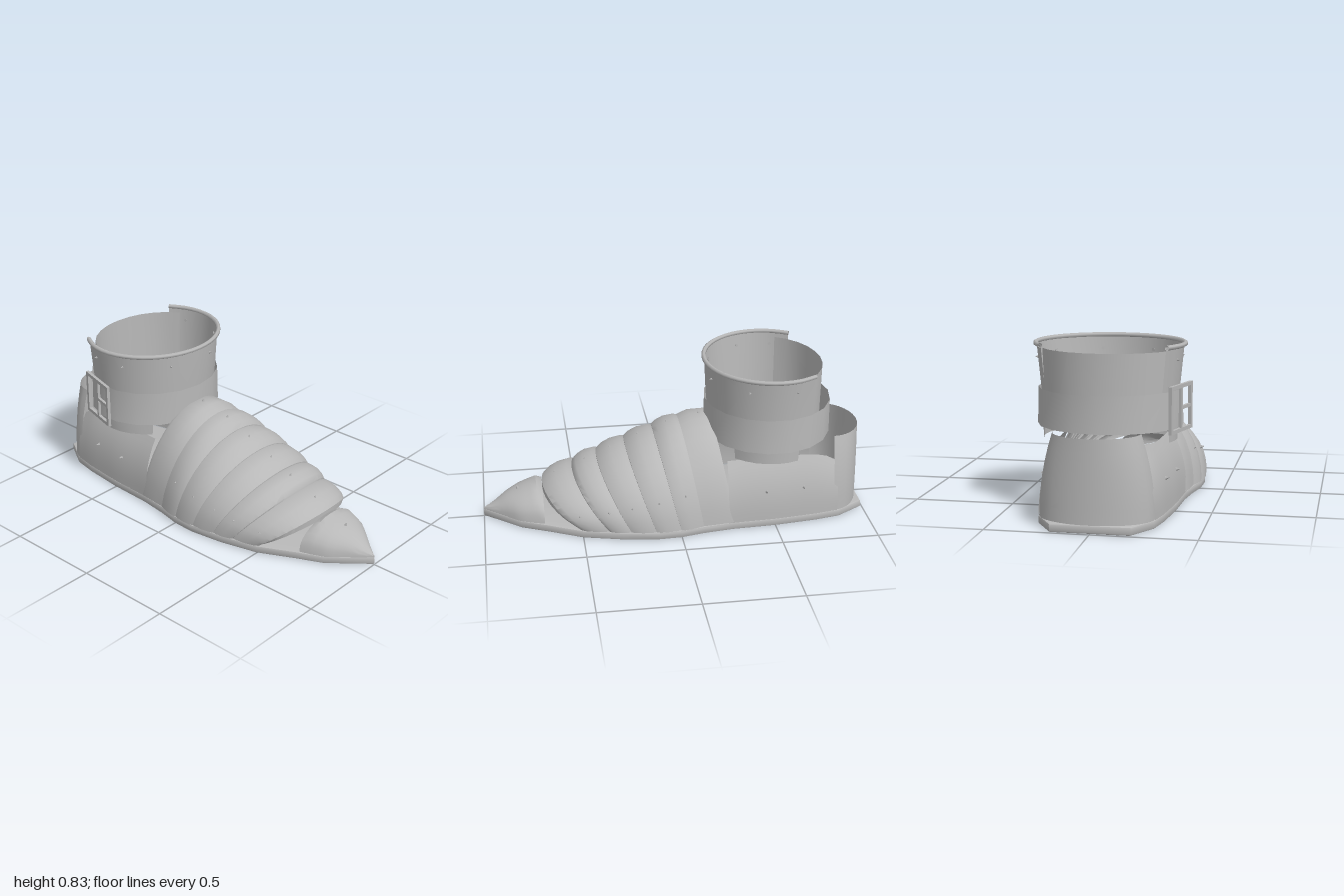
import * as THREE from 'three';
import { toCreasedNormals } from 'three/addons/utils/BufferGeometryUtils.js';

const steel = new THREE.MeshStandardMaterial({ color: 0xb8b8b8, side: THREE.DoubleSide });
steel.name = 'steel';

// Half outline of the sole, [x, z] from toe to heel
const OUTLINE = [[0, 1], [0.16, 0.81], [0.22, 0.68], [0.31, 0.5], [0.36, 0.3], [0.385, 0.12], [0.38, 0],
  [0.355, -0.12], [0.335, -0.27], [0.325, -0.5], [0.3, -0.72], [0.275, -0.85], [0.19, -0.99]];

// Linear lookup in a table of [value, key] pairs with falling keys
function lookup(table, key) {
  for (let i = 1; i < table.length; i++) {
    const [v0, k0] = table[i - 1], [v1, k1] = table[i];
    if (key >= k1) return v0 + (v1 - v0) * Math.min(1, Math.max(0, (k0 - key) / (k0 - k1)));
  }
  return table[table.length - 1][0];
}
const halfWidth = (z) => lookup(OUTLINE, z);

// Surface from a rule fn(u, v) -> [x, y, z]
function sheet(nu, nv, fn) {
  const pos = [], idx = [];
  for (let j = 0; j <= nv; j++) for (let i = 0; i <= nu; i++) pos.push(...fn(i / nu, j / nv, j));
  for (let j = 0; j < nv; j++) for (let i = 0; i < nu; i++) {
    const a = j * (nu + 1) + i, b = a + 1, c = a + nu + 1, d = c + 1;
    idx.push(a, b, d, a, d, c);
  }
  const geo = new THREE.BufferGeometry();
  geo.setAttribute('position', new THREE.Float32BufferAttribute(pos, 3));
  geo.setIndex(idx);
  return toCreasedNormals(geo, 0.75);
}

function add(parent, name, geo) {
  const mesh = new THREE.Mesh(geo, steel);
  mesh.name = name;
  parent.add(mesh);
  return mesh;
}

// Small pointed stud facing outwards
function stud(parent, p, dir) {
  const m = add(parent, 'stud', new THREE.ConeGeometry(0.01, 0.022, 4));
  m.position.set(...p);
  m.quaternion.setFromUnitVectors(new THREE.Vector3(0, 1, 0), new THREE.Vector3(...dir).normalize());
}

// Elliptical wall around the ankle; angles in degrees from the front, rows are [y, rx, rz]
const CZ = -0.5;
const onRing = (deg, rx, rz, y) => {
  const a = THREE.MathUtils.degToRad(deg);
  return [rx * Math.sin(a), y, CZ + rz * Math.cos(a)];
};
function ringWall(a0, a1, n, rows) {
  return sheet(n, rows.length - 1, (u, v, j) => onRing(a0 + (a1 - a0) * u, rows[j][1], rows[j][2], rows[j][0]));
}

// Arched point over the foot: lower ends lie further back than the crown
const BASE = 0.045;
const crown = (z) => (z > -0.08 ? 0.18 + (0.69 - z) * 0.43 : 0.512);
const lean = (z) => 0.08 + 0.1 * Math.min(1, Math.max(0, z / 0.65));
function arch(z, t, off) {
  const a = Math.PI * t, s = Math.sin(a), back = z - lean(z);
  return [-(halfWidth(back) + off * 0.4) * Math.cos(a), BASE + (crown(z) + off - BASE) * s, z - lean(z) * (1 - s)];
}

export function createModel() {
  const model = new THREE.Group();
  model.name = 'armouredShoe';

  // Sole
  const shape = new THREE.Shape();
  OUTLINE.forEach(([x, z], i) => (i ? shape.lineTo(x, -z) : shape.moveTo(x, -z)));
  [...OUTLINE].reverse().forEach(([x, z]) => x && shape.lineTo(-x, -z));
  const soleGeo = new THREE.ExtrudeGeometry(shape, {
    depth: 0.024, bevelThickness: 0.008, bevelSize: 0.008, bevelOffset: -0.008, bevelSegments: 2 });
  soleGeo.rotateX(-Math.PI / 2).translate(0, 0.008, 0);
  add(model, 'sole', toCreasedNormals(soleGeo, 0.6));

  // Toe cap
  const TOE_H = [[0.05, 1], [0.075, 0.95], [0.125, 0.88], [0.16, 0.8], [0.183, 0.72], [0.165, 0.69]];
  const TOE_W = [[0, 1], [0.075, 0.91], [0.155, 0.82], [0.185, 0.75], [0.205, 0.69]];
  add(model, 'toeCap', sheet(14, 10, (u, v) => {
    const z = 1 - 0.31 * v, a = Math.PI * u;
    return [-lookup(TOE_W, z) * Math.cos(a), 0.04 + (lookup(TOE_H, z) - 0.04) * Math.sin(a) ** 0.85, z];
  }));
  stud(model, [0, 0.16, 0.82], [0, 1, 0.4]);

  // Overlapping foot plates, each with a lip turned under at its front
  const PROFILE = [[0, -0.03], [0, 0.004], [0.12, 0.018], [0.35, 0.024], [0.65, 0.012], [1, -0.03]];
  const plates = [[0.69, 0.49], [0.53, 0.36], [0.4, 0.2], [0.25, 0.05], [0.1, -0.08]];
  plates.forEach(([z0, z1]) => {
    add(model, 'footPlate', sheet(18, PROFILE.length - 1, (u, v, j) =>
      arch(z0 + (z1 - z0) * PROFILE[j][0], u, PROFILE[j][1])));
    const zs = z0 - 0.07;
    for (const t of [0.13, 0.5, 0.87]) {
      stud(model, arch(zs, t, 0.026), [-Math.cos(Math.PI * t), Math.sin(Math.PI * t), 0.25]);
    }
  });

  // Instep plate
  const INSTEP = [[-0.03, -0.03], [-0.03, 0], [-0.09, 0.008], [-0.18, 0.013], [-0.2, 0]];
  add(model, 'instepPlate', sheet(18, INSTEP.length - 1, (u, v, j) => arch(INSTEP[j][0], u, INSTEP[j][1])));
  stud(model, [0, 0.53, -0.14], [0, 1, 0.3]);

  // Side panels of the rear foot
  for (const side of [1, -1]) {
    add(model, 'sidePanel', sheet(10, 8, (u, v) => {
      const z = -0.25 - 0.59 * u;
      const top = 0.36 - 0.06 * u ** 8;
      return [side * halfWidth(z) * (1 - 0.24 * v ** 2.5), 0.04 + (top - 0.04) * v, z];
    }));
    stud(model, [side * 0.326, 0.2, -0.45], [side, 0.2, 0]);
    stud(model, [side * 0.305, 0.2, -0.65], [side, 0.2, 0]);
  }

  // Heel cup
  add(model, 'heelCup', sheet(16, 6, (u, v) => {
    const a = Math.PI * u;
    return [0.275 * (1 - 0.24 * v * v) * Math.cos(a), 0.04 + 0.4 * v, -0.82 - 0.17 * Math.sin(a)];
  }));

  // Ankle cuff, open at the back, with a rolled rim
  add(model, 'ankleCuff', ringWall(-123, 123, 20, [[0.43, 0.325, 0.3], [0.62, 0.338, 0.318], [0.82, 0.358, 0.328]]));
  const rimPoints = [];
  for (let i = 0; i <= 16; i++) rimPoints.push(new THREE.Vector3(...onRing(-123 + 246 * i / 16, 0.362, 0.33, 0.821)));
  add(model, 'cuffRim', new THREE.TubeGeometry(new THREE.CatmullRomCurve3(rimPoints), 32, 0.012, 6));
  for (const a of [-105, -72, -28, 17, 62, 105]) {
    const p = onRing(a, 0.354, 0.328, 0.755);
    stud(model, p, [p[0], 0, p[2] - CZ]);
  }

  // Back plate of the ankle
  add(model, 'backPlate', ringWall(112, 248, 10, [[0.43, 0.32, 0.275], [0.8, 0.335, 0.28]]));

  // Lower tabs beside the ankle
  for (const side of [1, -1]) {
    add(model, 'ankleTab', ringWall(side * 45, side * 112, 6, [[0.36, 0.327, 0.29], [0.45, 0.328, 0.3]]));
  }

  // Strap around the cuff
  add(model, 'strap', ringWall(0, 360, 18, [[0.43, 0.354, 0.332], [0.61, 0.349, 0.33]]));

  // Buckle on the right of the strap
  const buckle = new THREE.Group();
  buckle.name = 'buckle';
  buckle.position.set(-0.354, 0.525, -0.57);
  buckle.rotation.y = -0.28;
  for (const s of [1, -1]) {
    add(buckle, 'buckleRail', new THREE.BoxGeometry(0.016, 0.018, 0.24)).position.y = s * 0.105;
    add(buckle, 'buckleBar', new THREE.BoxGeometry(0.016, 0.21, 0.02)).position.z = s * 0.11;
  }
  add(buckle, 'bucklePin', new THREE.BoxGeometry(0.014, 0.21, 0.016));
  add(buckle, 'buckleTongue', new THREE.BoxGeometry(0.014, 0.016, 0.12)).position.z = 0.06;
  model.add(buckle);

  return model;
}
